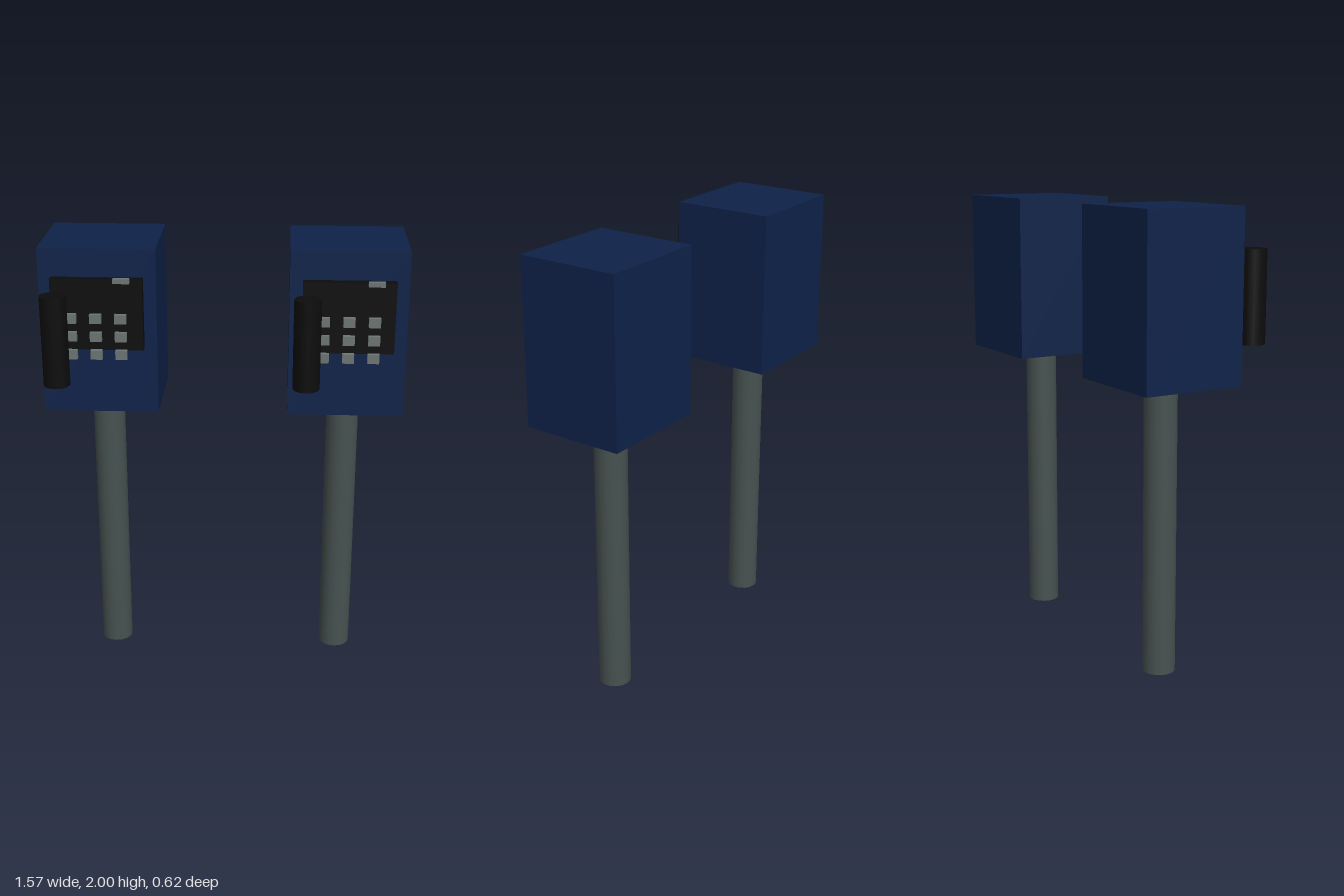
import * as THREE from 'three';

const mat = (name, color) => Object.assign(new THREE.MeshStandardMaterial({ color }), { name });

export function createModel() {
  const blue = mat('navy housing', 0x0e2249);
  const steel = mat('grey steel', 0x465250);
  const black = mat('black plastic', 0x0c0c0c);
  const grey = mat('button grey', 0x6c7573);

  const add = (parent, name, geometry, material, x, y, z) => {
    const mesh = new THREE.Mesh(geometry, material);
    mesh.name = name;
    mesh.position.set(x, y, z);
    parent.add(mesh);
  };

  // One payphone, centred on its own pole in x
  function payphone(name, x) {
    const phone = new THREE.Group();
    phone.name = name;
    phone.position.x = x;

    add(phone, 'pole', new THREE.CylinderGeometry(0.072, 0.072, 1.28, 16), steel, 0, 0.64, -0.077);
    add(phone, 'housing', new THREE.BoxGeometry(0.502, 0.728, 0.46), blue, 0, 1.636, -0.078);
    add(phone, 'panel', new THREE.BoxGeometry(0.392, 0.308, 0.05), black, 0, 1.724, 0.17);
    add(phone, 'handset', new THREE.CylinderGeometry(0.058, 0.058, 0.394, 12), black, -0.174, 1.627, 0.254);

    // Keypad, three by three, standing off the panel
    const key = new THREE.BoxGeometry(0.05, 0.04, 0.022);
    for (let row = 0; row < 3; row++) {
      for (let col = 0; col < 3; col++) {
        add(phone, 'key', key, grey, (col - 1) * 0.106, 1.722 - row * 0.079, 0.239);
      }
    }
    // Coin slot at the panel's upper edge
    add(phone, 'coinSlot', new THREE.BoxGeometry(0.07, 0.02, 0.022), grey, 0.11, 1.879, 0.213);
    return phone;
  }

  const model = new THREE.Group();
  model.name = 'payphones';
  model.add(payphone('rightPayphone', -0.533), payphone('leftPayphone', 0.533));
  return model;
}
